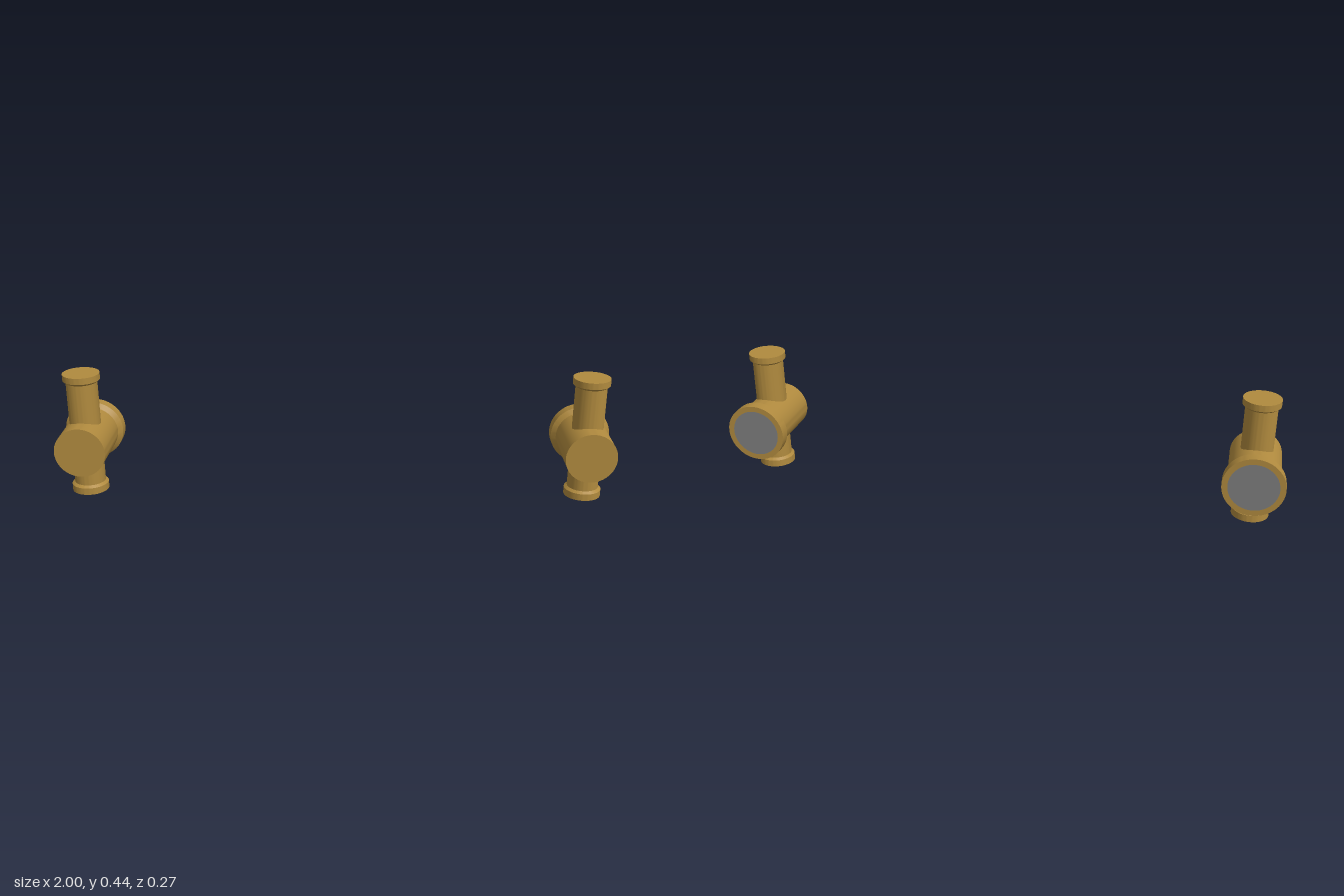
import * as THREE from 'three';
import { toCreasedNormals } from 'three/addons/utils/BufferGeometryUtils.js';

const SEGMENTS = 64;

// Solid of revolution with crisp rims; profile is [radius, height] from bottom to top
function turned(profile) {
  const points = profile.map(([r, h]) => new THREE.Vector2(r, h));
  return toCreasedNormals(new THREE.LatheGeometry(points, SEGMENTS), 0.5);
}

export function createModel() {
  const brass = new THREE.MeshStandardMaterial({ color: 0xb08a3e });
  brass.name = 'brass';
  const grey = new THREE.MeshStandardMaterial({ color: 0x7e7e7e });
  grey.name = 'grey';

  const axisY = 0.183, stemZ = 0.022, boreRadius = 0.086;

  // Horizontal body with a chamfered collar at the back
  const bodyGeometry = turned([
    [boreRadius, -0.133], [0.106, -0.133], [0.106, -0.094], [0.09, -0.08],
    [0.09, 0.133], [0, 0.133],
  ]).rotateX(Math.PI / 2);

  // Vertical stem with a chamfered collar at each end
  const stemGeometry = turned([
    [0, 0], [0.065, 0], [0.065, 0.025], [0.055, 0.033],
    [0.055, 0.412], [0.065, 0.42], [0.065, 0.443], [0, 0.443],
  ]);

  // Disc closing the collar, facing backwards
  const discGeometry = new THREE.CircleGeometry(boreRadius, SEGMENTS).rotateY(Math.PI);

  function addPart(parent, name, geometry, material, y, z) {
    const mesh = new THREE.Mesh(geometry, material);
    mesh.name = name;
    mesh.position.set(0, y, z);
    parent.add(mesh);
  }

  const model = new THREE.Group();
  model.name = 'pipeFittings';
  for (const [name, side] of [['leftFitting', 1], ['rightFitting', -1]]) {
    const fitting = new THREE.Group();
    fitting.name = name;
    fitting.position.x = side * 0.894;
    addPart(fitting, 'body', bodyGeometry, brass, axisY, 0);
    addPart(fitting, 'stem', stemGeometry, brass, 0, stemZ);
    addPart(fitting, 'backDisc', discGeometry, grey, axisY, -0.133);
    model.add(fitting);
  }
  return model;
}
